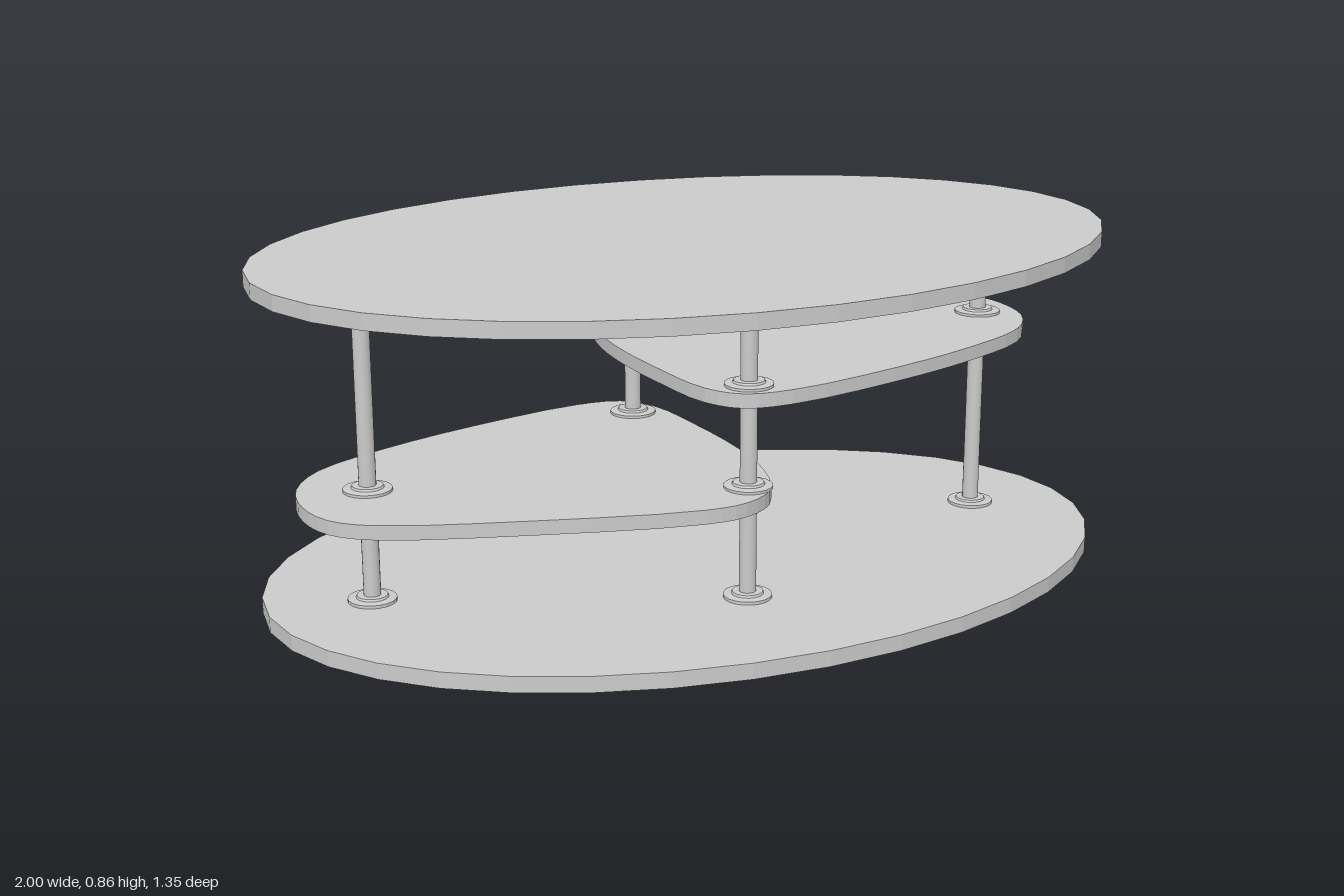
import * as THREE from 'three';

const material = new THREE.MeshStandardMaterial({ color: 0xcccccc, flatShading: true });
const smooth = new THREE.MeshStandardMaterial({ color: 0xcccccc });

function add(parent, name, geometry, x, y, z, mat = material) {
  const mesh = new THREE.Mesh(geometry, mat);
  mesh.name = name;
  mesh.position.set(x, y, z);
  parent.add(mesh);
  return mesh;
}

export function createModel() {
  const model = new THREE.Group();
  model.name = 'tieredTable';

  // Large oval top and base
  const oval = new THREE.CylinderGeometry(1, 1, 0.036, 36).scale(1, 1, 0.675);
  add(model, 'tableTop', oval, 0, 0.842, 0);
  add(model, 'baseShelf', oval, 0, 0.107, 0);

  // Rounded three-cornered shelf, outline as [x, z]
  const outline = [
    [-0.15, -0.08], [-0.14, 0.14], [-0.115, 0.31], [-0.06, 0.385], [0.05, 0.4],
    [0.33, 0.345], [0.58, 0.265], [0.76, 0.175], [0.84, 0.07], [0.86, -0.05],
    [0.835, -0.15], [0.76, -0.22], [0.45, -0.335], [0.1, -0.427], [0, -0.422],
    [-0.08, -0.37], [-0.13, -0.25],
  ].map(([x, z]) => new THREE.Vector3(x, -z, 0));
  const curve = new THREE.CatmullRomCurve3(outline, true);
  const shape = new THREE.Shape(curve.getPoints(51).slice(0, 51).map(p => new THREE.Vector2(p.x, p.y)));
  const shelf = new THREE.ExtrudeGeometry(shape, { depth: 0.032, bevelEnabled: false });
  shelf.rotateX(-Math.PI / 2);
  add(model, 'upperShelf', shelf, 0, 0.575, 0);
  // The lower shelf is the same board turned half round
  add(model, 'lowerShelf', shelf, -0.068, 0.346, 0).rotation.y = Math.PI;

  // Posts with stepped feet and a collar above every shelf they pass through
  const post = new THREE.CylinderGeometry(0.019, 0.019, 0.82, 20);
  const flange = new THREE.LatheGeometry([
    [0, 0], [0.054, 0], [0.054, 0.007], [0.036, 0.009], [0.034, 0.014], [0, 0.014],
  ].map(([r, y]) => new THREE.Vector2(r, y)), 20);
  const upper = 0.606, lower = 0.377;
  const posts = [
    ['frontPost', -0.02, 0.33, [upper, lower]],
    ['backPost', -0.02, -0.285, [upper, lower]],
    ['leftPost', 0.76, 0, [upper]],
    ['rightPost', -0.77, 0, [lower]],
  ];
  for (const [name, x, z, heights] of posts) {
    const group = new THREE.Group();
    group.name = name;
    group.position.set(x, 0, z);
    add(group, 'post', post, 0, 0.418, 0, smooth);
    add(group, 'foot', flange, 0, 0, 0);
    for (const y of [0.125, ...heights]) add(group, 'collar', flange, 0, y, 0);
    model.add(group);
  }
  return model;
}
